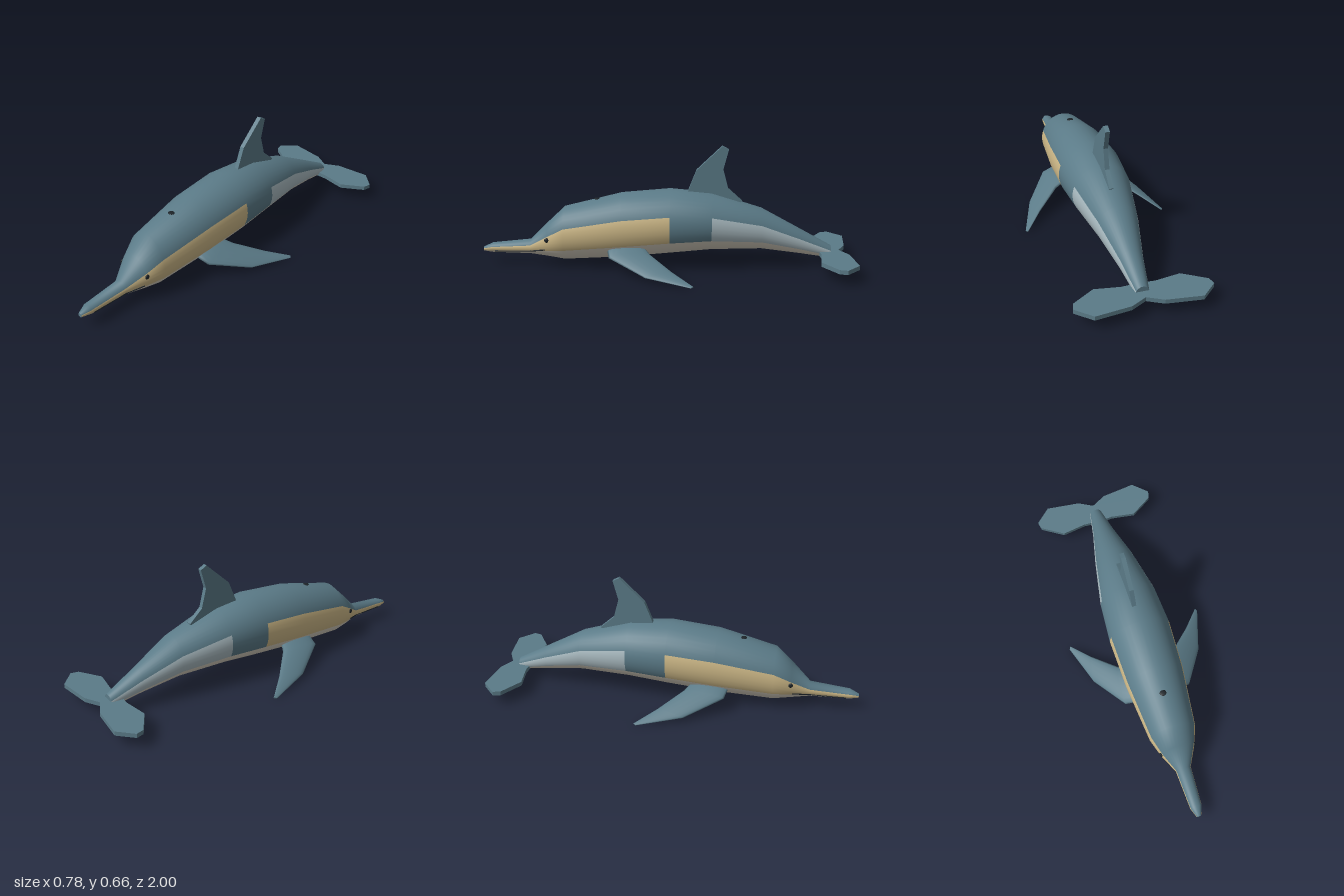
import * as THREE from 'three';

const mat = (name, color, side = THREE.FrontSide) => {
  const m = new THREE.MeshStandardMaterial({ color, side });
  m.name = name;
  return m;
};

// body stations from beak to tail: z, top, bottom, half width
const STATIONS = [
  [1.0, 0.095, 0.072, 0.012], [0.95, 0.118, 0.066, 0.032], [0.74, 0.14, 0.06, 0.042],
  [0.64, 0.24, 0.048, 0.095], [0.55, 0.325, 0.033, 0.128], [0.24, 0.402, 0.05, 0.162],
  [-0.02, 0.425, 0.075, 0.172], [-0.24, 0.405, 0.096, 0.157], [-0.51, 0.322, 0.1, 0.108],
  [-0.72, 0.208, 0.072, 0.062], [-0.89, 0.115, 0.046, 0.034],
];

// half width of the body surface at a given z and height
function surfaceX(z, y) {
  let i = 0;
  while (i < STATIONS.length - 2 && STATIONS[i + 1][0] > z) i++;
  const a = STATIONS[i], b = STATIONS[i + 1], t = (z - a[0]) / (b[0] - a[0]);
  const [, top, bottom, w] = a.map((v, k) => v + (b[k] - v) * t);
  const s = (y - (top + bottom) / 2) / ((top - bottom) / 2);
  return w * Math.sqrt(Math.max(0, 1 - s * s));
}

// skin over closed rings, capped at both ends; colourOf(i, j) gives a material index
function loft(rings, colourOf = () => 0, capColour = 0) {
  const n = rings[0].length, pos = rings.flat().flatMap(p => [p.x, p.y, p.z]), buckets = [];
  const add = (c, ...ids) => (buckets[c] ??= []).push(...ids);
  for (let i = 0; i < rings.length - 1; i++)
    for (let j = 0; j < n; j++) {
      const k = (j + 1) % n, a = i * n + j, b = i * n + k;
      add(colourOf(i, j), a, a + n, b, b, a + n, b + n);
    }
  [rings[0], rings[rings.length - 1]].forEach((ring, end) => {
    const base = pos.length / 3;
    ring.forEach(p => pos.push(p.x, p.y, p.z));
    for (let j = 1; j < n - 1; j++)
      add(capColour, base, base + (end ? j + 1 : j), base + (end ? j : j + 1));
  });
  const geo = new THREE.BufferGeometry(), index = [];
  buckets.forEach((ids, c) => {
    geo.addGroup(index.length, ids.length, c);
    ids.forEach(v => index.push(v));
  });
  geo.setAttribute('position', new THREE.Float32BufferAttribute(pos, 3));
  geo.setIndex(index);
  geo.computeVertexNormals();
  return geo;
}

// flat plate from an outline, centred on its thickness
function plate(points, depth) {
  const shape = new THREE.Shape(points.map(p => new THREE.Vector2(...p)));
  return new THREE.ExtrudeGeometry(shape, { depth, bevelEnabled: false }).translate(0, 0, -depth / 2);
}

export function createModel() {
  const model = new THREE.Group();
  const blue = mat('slateBlue', 0x5b7b88), tan = mat('sand', 0xcdb887);
  const cream = mat('cream', 0xd3ccbd), grey = mat('paleGrey', 0xa8b9bf);
  const dark = mat('nearBlack', 0x1c2328);
  const add = (name, geo, material) => {
    const mesh = new THREE.Mesh(geo, material);
    mesh.name = name;
    model.add(mesh);
    return mesh;
  };

  // body: ring angles broken at the edges of the colour bands
  const bands = [[-90, -29, 6], [-29, 20, 5], [20, 160, 14], [160, 209, 5], [209, 270, 6]];
  const angles = [], bandOf = [];
  bands.forEach(([from, to, n], b) => {
    for (let k = 0; k < n; k++) {
      angles.push(THREE.MathUtils.degToRad(from + (to - from) * k / n));
      bandOf.push(b);
    }
  });
  const rings = STATIONS.map(([z, top, bottom, w]) => angles.map(a => new THREE.Vector3(
    w * Math.cos(a), (top + bottom) / 2 + (top - bottom) / 2 * Math.sin(a), z)));
  const bodyColour = (i, j) => {
    const b = bandOf[j];
    if (b === 2) return 0;
    if (b === 0 || b === 4) return 2;
    return i < 6 ? 1 : i === 6 ? 0 : 3;
  };
  add('body', loft(rings, bodyColour), [blue, tan, cream, grey]);

  // dorsal fin, outline in z and y
  const fin = [[-0.1, 0.37], [-0.117, 0.42], [-0.16, 0.53], [-0.295, 0.66], [-0.33, 0.642],
    [-0.302, 0.535], [-0.33, 0.43], [-0.405, 0.362], [-0.38, 0.33]];
  add('dorsalFin', plate(fin.map(([z, y]) => [-z, y]), 0.024).rotateY(Math.PI / 2), blue);

  // tail flukes, outline in x and z
  const half = [[0.085, -0.83], [0.217, -0.81], [0.335, -0.885], [0.345, -0.926],
    [0.265, -1], [0.08, -0.978]];
  const flukes = [[0, -0.825], ...half, [0, -0.935],
    ...half.slice().reverse().map(([x, z]) => [-x, z])];
  add('tailFlukes', plate(flukes.map(([x, z]) => [x, -z]), 0.023)
    .rotateX(-Math.PI / 2).translate(0, 0.077, 0), blue);

  // flippers: leading point, trailing point, half thickness, from tip to root
  const sections = [
    [[0.388, 0.004, -0.13], [0.378, 0.007, -0.145], 0.003],
    [[0.312, 0.03, 0.105], [0.285, 0.052, -0.035], 0.011],
    [[0.185, 0.093, 0.3], [0.165, 0.108, 0.085], 0.021],
    [[0.11, 0.115, 0.315], [0.1, 0.13, 0.12], 0.024],
  ];
  const up = new THREE.Vector3(0.42, 0.9, 0);
  const flipper = sections.map(([l, t, h]) => {
    const lead = new THREE.Vector3(...l), trail = new THREE.Vector3(...t);
    const mid = lead.clone().add(trail).multiplyScalar(0.5), chord = lead.clone().sub(mid);
    return Array.from({ length: 16 }, (_, k) => {
      const a = k / 16 * Math.PI * 2;
      return mid.clone().addScaledVector(chord, Math.sin(a)).addScaledVector(up, h * Math.cos(a));
    });
  });
  const mirrored = flipper.map(r => r.map(p => new THREE.Vector3(-p.x, p.y, p.z)).reverse());
  add('leftFlipper', loft(flipper), [blue]);
  add('rightFlipper', loft(mirrored), [blue]);

  // eyes and mouth lines
  for (const [side, s] of [['left', 1], ['right', -1]]) {
    const eye = add(side + 'Eye', new THREE.SphereGeometry(0.013, 16, 12), dark);
    eye.scale.x = 0.5;
    eye.position.set(s * surfaceX(0.64, 0.16), 0.16, 0.64);
    const path = [[0.935, 0.08], [0.84, 0.081], [0.74, 0.084], [0.7, 0.092], [0.65, 0.104]]
      .map(([z, y]) => new THREE.Vector3(s * surfaceX(z, y), y, z));
    add(side + 'Mouth', new THREE.TubeGeometry(new THREE.CatmullRomCurve3(path), 24, 0.004, 6), dark);
  }

  // blowhole
  const blowhole = add('blowhole', new THREE.SphereGeometry(0.018, 16, 10), dark);
  blowhole.scale.set(1, 0.2, 0.9);
  blowhole.position.set(0, 0.37, 0.375);
  return model;
}
